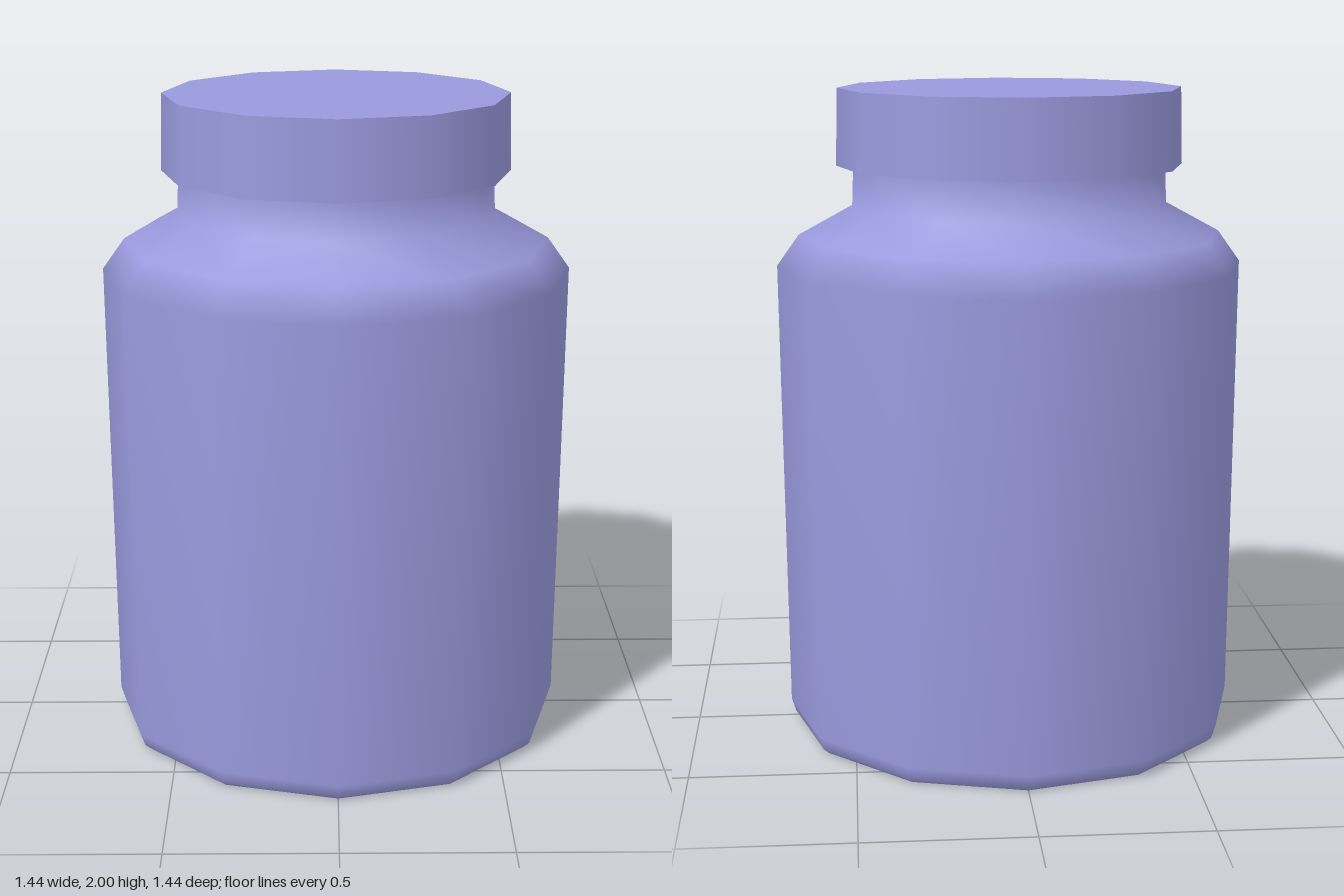
import * as THREE from 'three';

const SIDES = 12;

export function createModel() {
  const group = new THREE.Group();
  const material = new THREE.MeshStandardMaterial({ color: 0x9999dd });

  function add(name, geometry, y = 0) {
    const mesh = new THREE.Mesh(geometry, material);
    mesh.name = name;
    mesh.position.y = y;
    group.add(mesh);
    return mesh;
  }

  // Smooth wall: chamfered foot, slightly flared side, sloped shoulder, neck
  const profile = [
    [0.675, 0], [0.692, 0.015], [0.705, 0.055],
    [0.718, 1.46], [0.65, 1.555], [0.485, 1.645], [0.48, 1.77],
  ].map(([r, y]) => new THREE.Vector2(r, y));
  add('jarBody', new THREE.LatheGeometry(profile, SIDES));

  // Flat base, facing down
  add('jarBase', new THREE.CircleGeometry(0.675, SIDES).rotateX(Math.PI / 2));

  // Lid, a touch narrower at the top, overhanging the neck
  add('lid', new THREE.CylinderGeometry(0.526, 0.532, 0.235, SIDES), 1.8825);

  return group;
}
